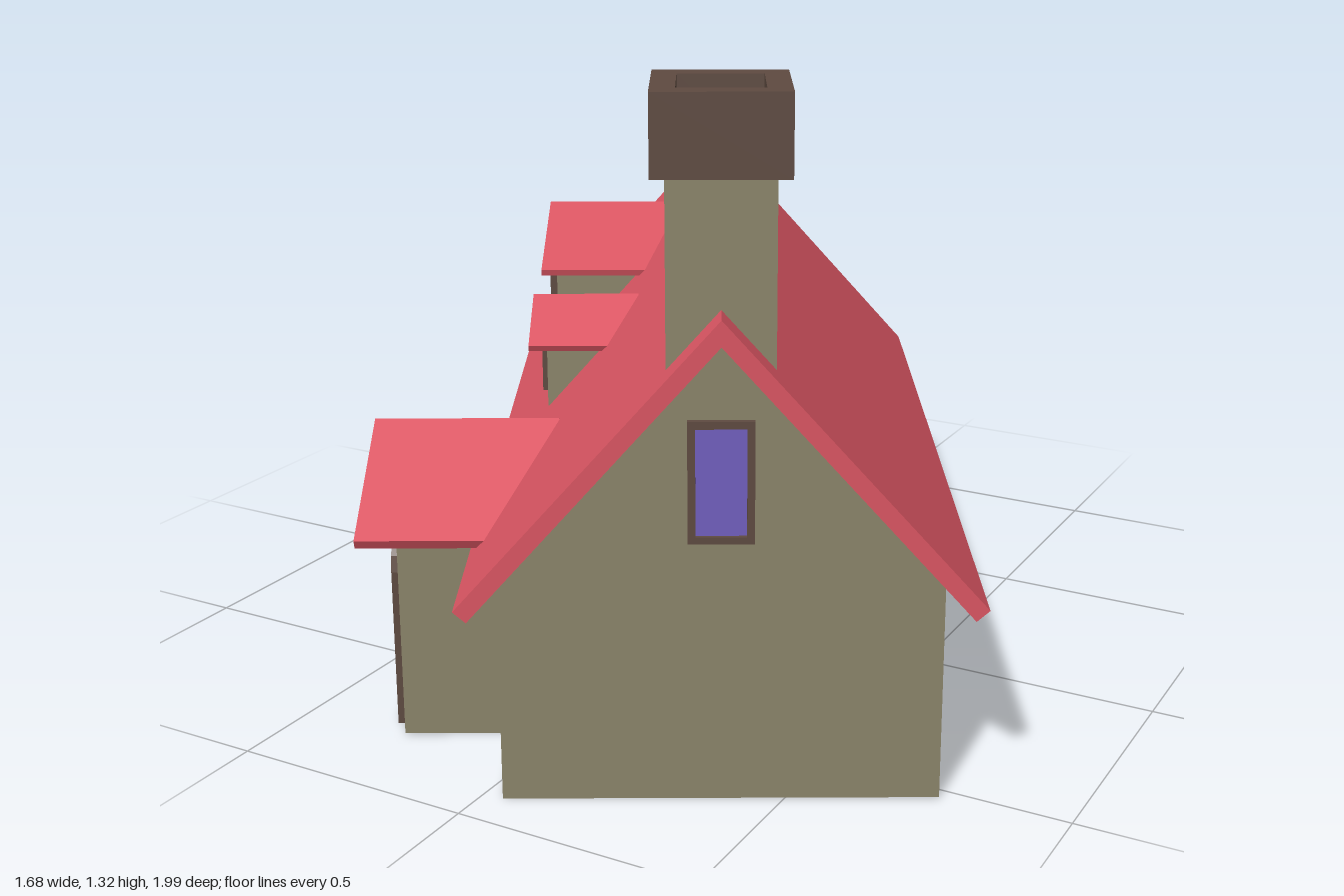
import * as THREE from 'three';

const mat = (color) => new THREE.MeshStandardMaterial({ color, flatShading: true });
const WALL = mat(0x8c866b), ROOF = mat(0xdc5663), TRIM = mat(0x5f4b41), GLASS = mat(0x7260c0);

function add(parent, name, geometry, material) {
  const mesh = new THREE.Mesh(geometry, material);
  mesh.name = name;
  parent.add(mesh);
  return mesh;
}

const polygon = (pts) => new THREE.Shape(pts.map(([x, y]) => new THREE.Vector2(x, y)));

// Extrude a shape along z, from z0 to z1
function extrude(shape, z0, z1) {
  return new THREE.ExtrudeGeometry(shape, { depth: z1 - z0, bevelEnabled: false, curveSegments: 6 })
    .translate(0, 0, z0);
}

// Gabled block: pentagon walls under a folded roof slab, facing +z
function gabled(parent, name, { wall, bottom, wallZ, half, ridge, eave, t, roofZ }) {
  const s = (ridge - eave) / half, n = Math.hypot(s, 1);
  const apex = ridge - t * n, ix = half - t * s / n, iy = eave - t / n;
  const top = apex - s * wall;
  add(parent, name + 'Walls', extrude(polygon([
    [-wall, bottom], [wall, bottom], [wall, top], [0, apex], [-wall, top],
  ]), ...wallZ), WALL);
  add(parent, name + 'Roof', extrude(polygon([
    [half, eave], [0, ridge], [-half, eave], [-ix, iy], [0, apex], [ix, iy],
  ]), ...roofZ), ROOF);
}

// Rectangle, optionally with a shallow arched top of the given rise
function opening(w, y0, y1, rise) {
  const s = new THREE.Shape();
  s.moveTo(-w, y0);
  s.lineTo(w, y0);
  s.lineTo(w, y1 - rise);
  if (rise) s.absellipse(0, y1 - rise, w, rise, 0, Math.PI, false, 0);
  else s.lineTo(-w, y1);
  s.closePath();
  return s;
}

// Frame with a recessed panel, set on a wall at depth z and facing +z
function framed(parent, name, { w, y0, y1, z, rise = 0, b = 0.02, sill = b, depth = 0.02, panel = GLASS }) {
  const group = new THREE.Group();
  group.name = name;
  const inner = () => opening(w - b, y0 + sill, y1 - b, Math.max(0, rise - b / 2));
  const frame = opening(w, y0, y1, rise);
  frame.holes.push(inner());
  add(group, name + 'Frame', extrude(frame, z - 0.01, z + depth), TRIM);
  add(group, name + 'Panel', extrude(inner(), z - 0.01, z + depth * 0.4), panel);
  parent.add(group);
  return group;
}

// Group on the long side of the house: its +z points to the house's -x
function sideGroup(parent, name, along) {
  const g = new THREE.Group();
  g.name = name;
  g.rotation.y = -Math.PI / 2;
  g.position.z = along;
  parent.add(g);
  return g;
}

export function createModel() {
  const model = new THREE.Group();
  model.name = 'cottage';
  const house = new THREE.Group();
  house.name = 'house';
  house.rotation.y = 0.502;
  model.add(house);

  // Main block
  gabled(house, 'main', {
    wall: 0.405, bottom: 0, wallZ: [-0.823, 0.823],
    half: 0.479, ridge: 0.935, eave: 0.397, t: 0.032, roofZ: [-0.872, 0.872],
  });

  // One window in each gable end
  for (const turn of [0, Math.PI]) {
    framed(house, 'gableWindow', { w: 0.06, y0: 0.51, y1: 0.74, z: 0.823, b: 0.014, depth: 0.012 })
      .rotation.y = turn;
  }

  // Chimney shaft and hollow cap
  const chimney = new THREE.Group();
  chimney.name = 'chimney';
  chimney.position.z = 0.707;
  house.add(chimney);
  add(chimney, 'chimneyShaft', new THREE.BoxGeometry(0.195, 0.41, 0.195).translate(0, 0.975, 0), WALL);
  const square = (r) => polygon([[-r, -r], [r, -r], [r, r], [-r, r]]);
  const cap = square(0.123);
  cap.holes.push(square(0.078));
  add(chimney, 'chimneyCap', extrude(cap, 1.17, 1.32).rotateX(-Math.PI / 2), TRIM);

  // Entrance porch with arched door
  const porch = sideGroup(house, 'porch', 0.32);
  gabled(porch, 'porch', {
    wall: 0.244, bottom: 0, wallZ: [0.36, 0.623],
    half: 0.303, ridge: 0.575, eave: 0.432, t: 0.02, roofZ: [0.322, 0.694],
  });
  framed(porch, 'door', {
    w: 0.2, y0: 0, y1: 0.445, z: 0.623, rise: 0.12, b: 0.024, sill: 0.008, panel: TRIM,
  });

  // Large dormer with a wide window and a small arched one above
  const large = sideGroup(house, 'largeDormer', -0.507);
  gabled(large, 'largeDormer', {
    wall: 0.262, bottom: 0.528, wallZ: [0.1, 0.364],
    half: 0.313, ridge: 0.84, eave: 0.752, t: 0.014, roofZ: [0.075, 0.395],
  });
  framed(large, 'wideWindow', { w: 0.2, y0: 0.563, y1: 0.725, z: 0.364, b: 0.018 });
  framed(large, 'atticWindow', { w: 0.08, y0: 0.735, y1: 0.802, z: 0.364, rise: 0.03, b: 0.01, depth: 0.012 });

  // Small dormer with an arched window
  const small = sideGroup(house, 'smallDormer', -0.018);
  gabled(small, 'smallDormer', {
    wall: 0.122, bottom: 0.53, wallZ: [0.18, 0.362],
    half: 0.157, ridge: 0.744, eave: 0.673, t: 0.014, roofZ: [0.172, 0.398],
  });
  framed(small, 'archedWindow', { w: 0.076, y0: 0.55, y1: 0.7, z: 0.362, rise: 0.045, b: 0.014, depth: 0.014 });

  // Ground floor window beneath the large dormer
  const ground = sideGroup(house, 'groundFloor', -0.507);
  framed(ground, 'groundWindow', { w: 0.25, y0: 0.135, y1: 0.32, z: 0.405 });

  return model;
}
